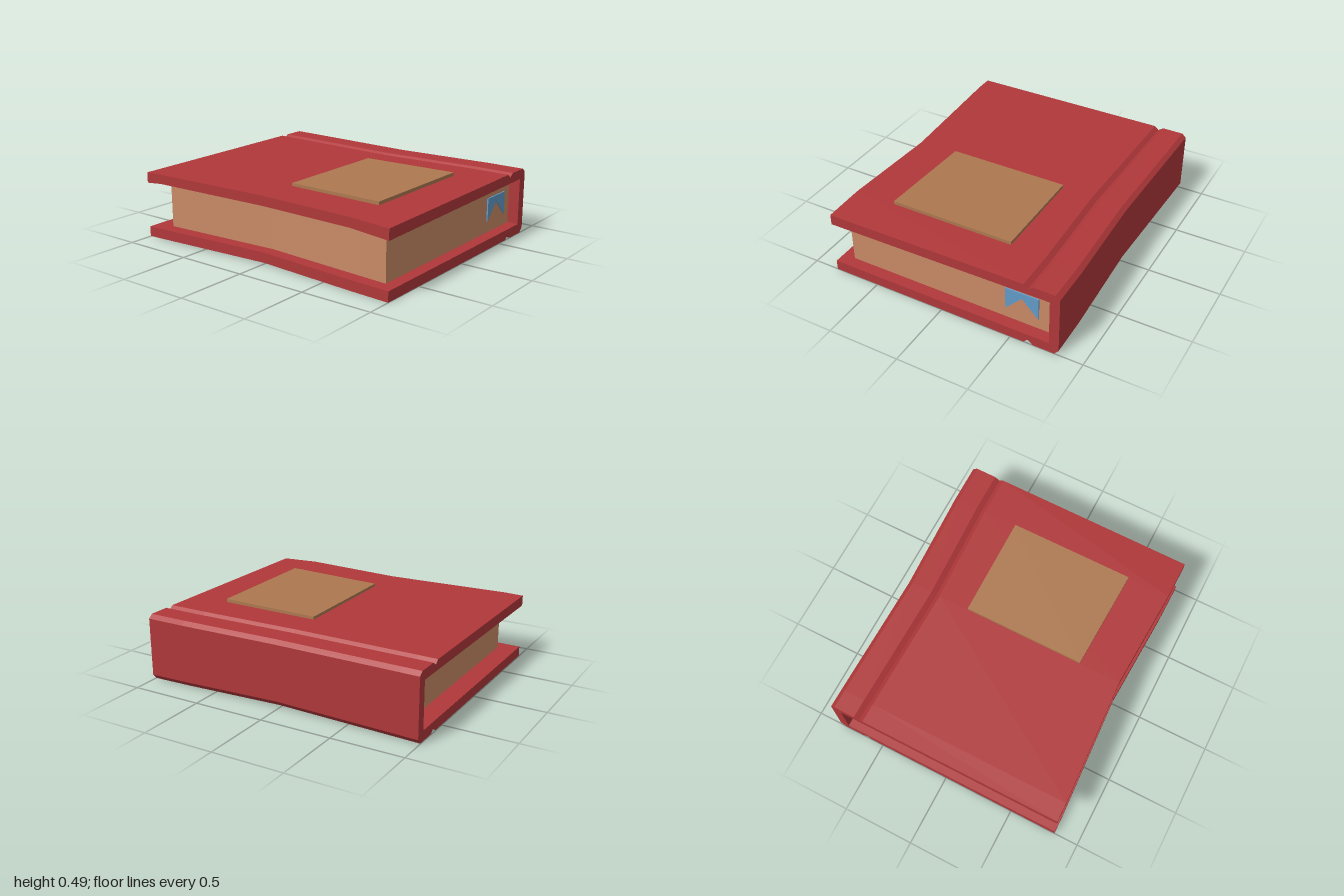
import * as THREE from 'three';

// Skins a row of equal-length sections along x. Each is { x, pts: [[z, y], ...] }, counter-clockwise.
function loft(sections) {
  const pos = [];
  const put = (s, i) => pos.push(s.pts[i][1] === undefined ? 0 : s.x, s.pts[i][1], s.pts[i][0]);
  const tri = (s0, a, s1, b, s2, c) => { put(s0, a); put(s1, b); put(s2, c); };
  const n = sections[0].pts.length;
  for (let k = 0; k < sections.length - 1; k++) {
    const s = sections[k], t = sections[k + 1];
    for (let i = 0; i < n; i++) {
      const j = (i + 1) % n;
      tri(s, i, t, j, s, j);
      tri(s, i, t, i, t, j);
    }
  }
  // End caps
  const first = sections[0], last = sections[sections.length - 1];
  const cap = (s) => THREE.ShapeUtils.triangulateShape(s.pts.map(([z, y]) => new THREE.Vector2(z, y)), []);
  for (const [a, b, c] of cap(first)) tri(first, a, first, b, first, c);
  for (const [a, b, c] of cap(last)) tri(last, a, last, c, last, b);
  const geo = new THREE.BufferGeometry();
  geo.setAttribute('position', new THREE.Float32BufferAttribute(pos, 3));
  geo.computeVertexNormals();
  return geo;
}

const rect = (x, z0, z1, y0, y1, y1Front = y1) => ({ x, pts: [[z0, y0], [z1, y0], [z1, y1Front], [z0, y1]] });

// Wrap-around cover section: spine at the back, a hinge groove in each board
function coverSection({ x, back, front, lift, top, topFront, under }) {
  const d = back + 0.832; // the spine and grooves shift together
  return {
    x,
    pts: [
      [back + 0.03, lift], [-0.655 + d, lift], [-0.62 + d, lift + 0.03], [-0.59 + d, lift],
      [front, lift], [front, lift + 0.07],
      [-0.765 + d, lift + 0.07], [-0.765 + d, 0.397], [front, under], [front, topFront],
      [-0.59 + d, top], [-0.62 + d, top - 0.025], [-0.655 + d, top], [back + 0.03, top],
      [back, top - 0.025], [back, lift + 0.035],
    ],
  };
}

export function createModel() {
  const material = (name, color) => {
    const m = new THREE.MeshStandardMaterial({ color });
    m.name = name;
    return m;
  };
  const red = material('cover red', 0xb0383a);
  const paper = material('paper tan', 0xc98a66);
  const brown = material('label brown', 0xad7850);
  const blue = material('bookmark blue', 0x639bc8);

  const group = new THREE.Group();
  group.name = 'book';
  const add = (name, geometry, mat) => {
    const mesh = new THREE.Mesh(geometry, mat);
    mesh.name = name;
    group.add(mesh);
    return mesh;
  };

  // Cover, slightly warped along its length
  add('cover', loft([
    { x: -1, back: -0.83, front: 0.83, lift: 0.003, top: 0.465, topFront: 0.46, under: 0.387 },
    { x: -0.87, back: -0.828, front: 0.828, lift: 0.005, top: 0.465, topFront: 0.463, under: 0.398 },
    { x: 0.01, back: -0.81, front: 0.785, lift: 0.014, top: 0.46, topFront: 0.46, under: 0.393 },
    { x: 0.72, back: -0.835, front: 0.82, lift: 0.005, top: 0.464, topFront: 0.464, under: 0.398 },
    { x: 1, back: -0.835, front: 0.825, lift: 0, top: 0.464, topFront: 0.45, under: 0.376 },
  ].map(coverSection)), red);

  // Page block
  add('pages', loft([
    rect(-0.87, -0.78, 0.735, 0.05, 0.41),
    rect(0.01, -0.76, 0.7, 0.05, 0.405),
    rect(0.72, -0.78, 0.73, 0.05, 0.41),
    rect(0.92, -0.78, 0.735, 0.05, 0.41, 0.4),
  ]), paper);

  // Raised label on the front board
  add('label', loft([
    rect(0.01, -0.35, 0.495, 0.45, 0.48),
    rect(0.717, -0.35, 0.523, 0.45, 0.487),
  ]), brown);

  // Swallow-tailed bookmark hanging beside the page edges
  const tail = [[-0.665, 0.163], [-0.55, 0.283], [-0.435, 0.163], [-0.435, 0.323], [-0.665, 0.323]];
  add('bookmark', loft([{ x: 0.933, pts: tail }, { x: 0.942, pts: tail }]), blue);

  return group;
}
